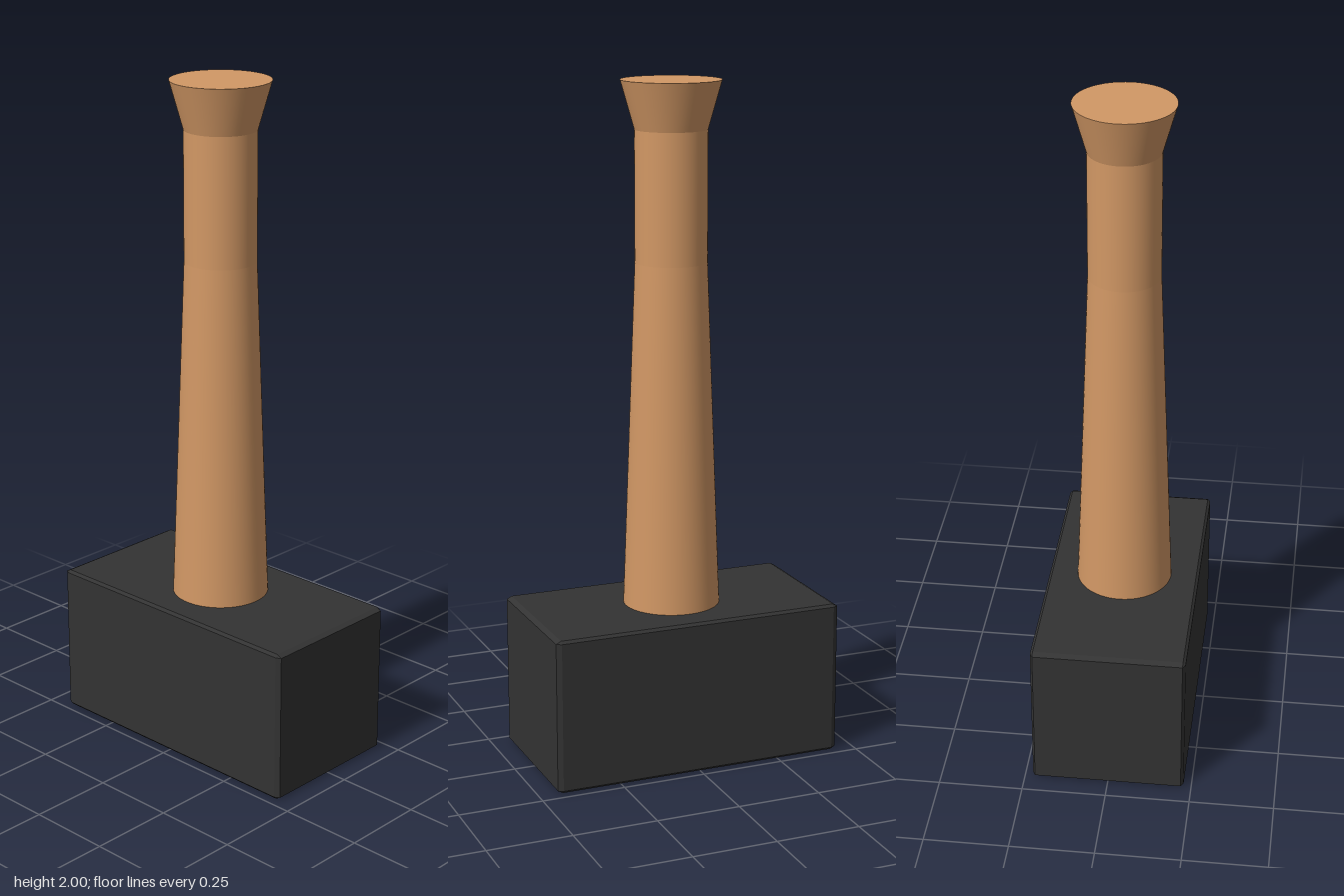
import * as THREE from 'three';
import { ConvexGeometry } from 'three/addons/geometries/ConvexGeometry.js';

// Box with chamfered edges: three inset corner points per corner
function chamferedBox(hx, hy, hz, bx, by, bz) {
  const points = [];
  for (const x of [-1, 1]) for (const y of [-1, 1]) for (const z of [-1, 1]) {
    points.push(
      new THREE.Vector3(x * hx, y * (hy - by), z * (hz - bz)),
      new THREE.Vector3(x * (hx - bx), y * hy, z * (hz - bz)),
      new THREE.Vector3(x * (hx - bx), y * (hy - by), z * hz)
    );
  }
  return new ConvexGeometry(points);
}

export function createModel() {
  const model = new THREE.Group();
  model.name = 'mallet';
  const rubber = new THREE.MeshStandardMaterial({ color: 0x333333 });
  const wood = new THREE.MeshStandardMaterial({ color: 0xd29865 });

  // Rubber head
  const head = new THREE.Mesh(chamferedBox(0.227, 0.23, 0.443, 0.008, 0.008, 0.015), rubber);
  head.name = 'head';
  head.position.y = 0.23;
  model.add(head);

  // Wooden handle: tapered shaft, straight grip and flared end, with crisp joints
  const handle = new THREE.Group();
  handle.name = 'handle';
  const sections = [
    ['shaft', 0.45, 1.48, 0.143, 0.105],
    ['grip', 1.48, 1.86, 0.105, 0.105],
    ['flaredEnd', 1.86, 2, 0.105, 0.145],
  ];
  for (const [name, y0, y1, r0, r1] of sections) {
    const section = new THREE.Mesh(new THREE.CylinderGeometry(r1, r0, y1 - y0, 64, 1, true), wood);
    section.name = name;
    section.position.y = (y0 + y1) / 2;
    handle.add(section);
  }

  // Flat top of the handle
  const cap = new THREE.Mesh(new THREE.CircleGeometry(0.145, 64), wood);
  cap.name = 'endCap';
  cap.rotation.x = -Math.PI / 2;
  cap.position.y = 2;
  handle.add(cap);
  model.add(handle);

  return model;
}
